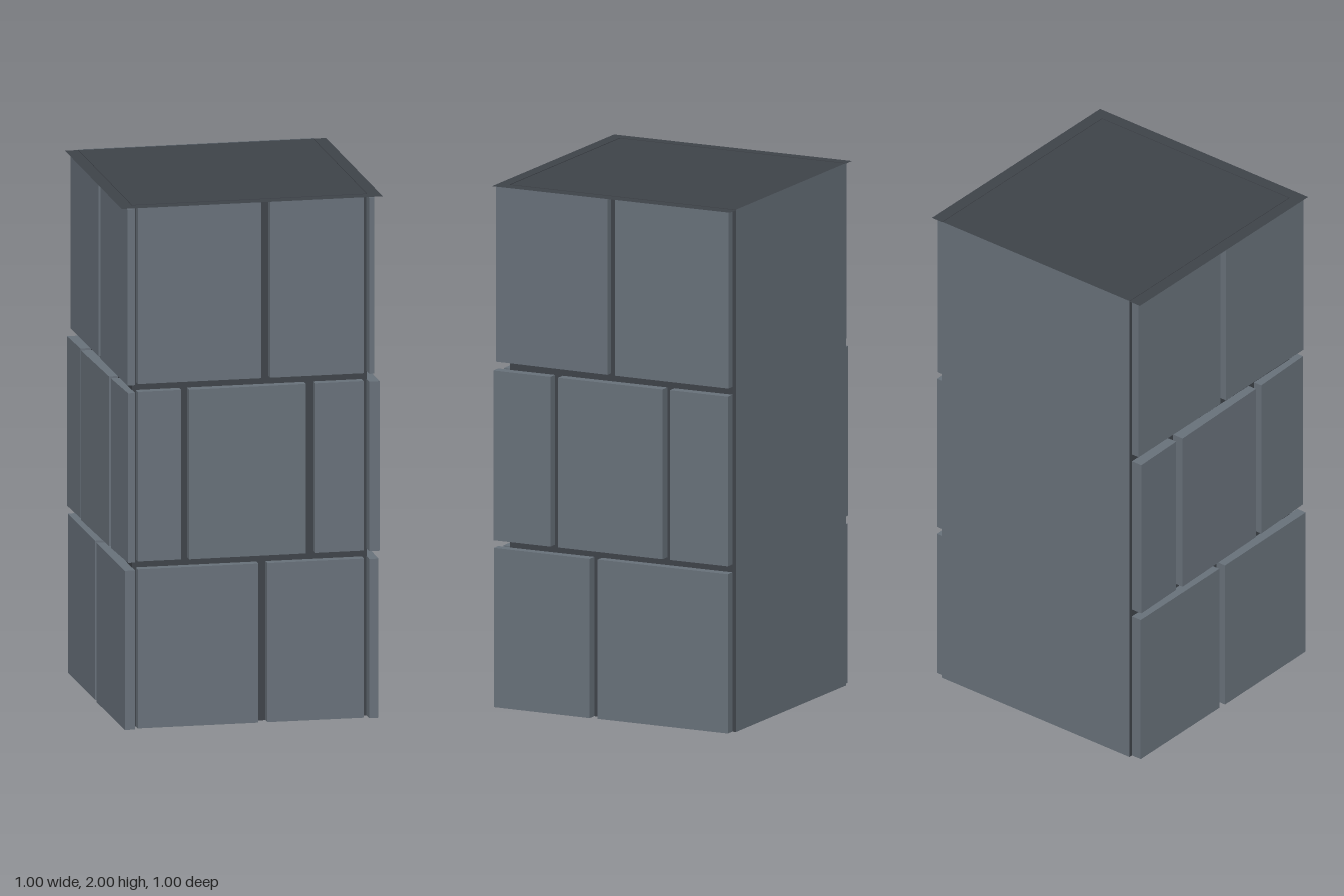
import * as THREE from 'three';

const CORE = 0.45; // half width of the core the blocks sit on

export function createModel() {
  const stone = new THREE.MeshStandardMaterial({ color: 0x68717a });
  stone.name = 'stone';
  const mortar = new THREE.MeshStandardMaterial({ color: 0x3e4349, side: THREE.DoubleSide });
  mortar.name = 'mortar';
  const panel = new THREE.MeshStandardMaterial({ color: 0x68717a, side: THREE.DoubleSide });
  panel.name = 'backStone';

  const model = new THREE.Group();
  model.name = 'stonePillar';

  function sheet(name, w, h, material, place) {
    const mesh = new THREE.Mesh(new THREE.PlaneGeometry(w, h), material);
    mesh.name = name;
    place(mesh);
    model.add(mesh);
  }

  // Hollow core, open at the bottom
  sheet('coreFront', 2 * CORE, 2, mortar, (m) => m.position.set(0, 1, CORE));
  for (const s of [1, -1]) {
    sheet(s > 0 ? 'coreLeft' : 'coreRight', 0.95, 2, mortar, (m) => {
      m.position.set(s * CORE, 1, -0.025);
      m.rotation.y = s * Math.PI / 2;
    });
  }
  sheet('backPanel', 2 * CORE, 2, panel, (m) => {
    m.position.set(0, 1, -0.5);
    m.rotation.y = Math.PI;
  });
  sheet('topSlab', 1, 1, mortar, (m) => {
    m.position.set(0, 1.998, 0);
    m.rotation.x = -Math.PI / 2;
  });

  const rows = [[0, 0.61], [0.64, 1.29], [1.32, 1.995]];

  // Each block: start, end along the wall, then outer face distance at each end
  const walls = {
    front: {
      at: (u, d) => [u, d],
      rows: [
        [[-0.435, 0.025, 0.485, 0.485], [0.06, 0.43, 0.485, 0.488]],
        [[-0.435, -0.27, 0.485, 0.485], [-0.24, 0.207, 0.49, 0.485], [0.243, 0.43, 0.485, 0.485]],
        [[-0.435, 0.037, 0.485, 0.485], [0.07, 0.43, 0.485, 0.485]],
      ],
    },
    left: {
      at: (u, d) => [d, u],
      rows: [
        [[0.5, 0.095, 0.483, 0.488], [0.063, -0.485, 0.485, 0.488]],
        [[0.5, 0.26, 0.488, 0.488], [0.228, -0.212, 0.488, 0.49], [-0.242, -0.485, 0.488, 0.488]],
        [[0.5, 0.025, 0.468, 0.48], [-0.007, -0.485, 0.48, 0.484]],
      ],
    },
    right: {
      at: (u, d) => [-d, u],
      rows: [
        [[0.5, 0.016, 0.488, 0.492], [-0.016, -0.485, 0.49, 0.492]],
        [[0.5, 0.24, 0.475, 0.485], [0.208, -0.24, 0.485, 0.495], [-0.272, -0.485, 0.49, 0.495]],
        [[0.5, 0.036, 0.478, 0.48], [0.004, -0.485, 0.48, 0.482]],
      ],
    },
  };

  // Blocks: plan outlines raised to the height of their row
  for (const [side, wall] of Object.entries(walls)) {
    const group = new THREE.Group();
    group.name = side + 'Blocks';
    wall.rows.forEach((blocks, r) => {
      const [y0, y1] = rows[r];
      blocks.forEach(([a, b, da, db], i) => {
        const plan = [[a, CORE - 0.002], [b, CORE - 0.002], [b, db], [a, da]].map(([u, d]) => {
          const [x, z] = wall.at(u, d);
          return new THREE.Vector2(x, -z);
        });
        const geo = new THREE.ExtrudeGeometry(new THREE.Shape(plan), { depth: y1 - y0, bevelEnabled: false });
        geo.rotateX(-Math.PI / 2).translate(0, y0, 0);
        const mesh = new THREE.Mesh(geo, stone);
        mesh.name = `${side}BlockRow${r + 1}Number${i + 1}`;
        group.add(mesh);
      });
    });
    model.add(group);
  }
  return model;
}
